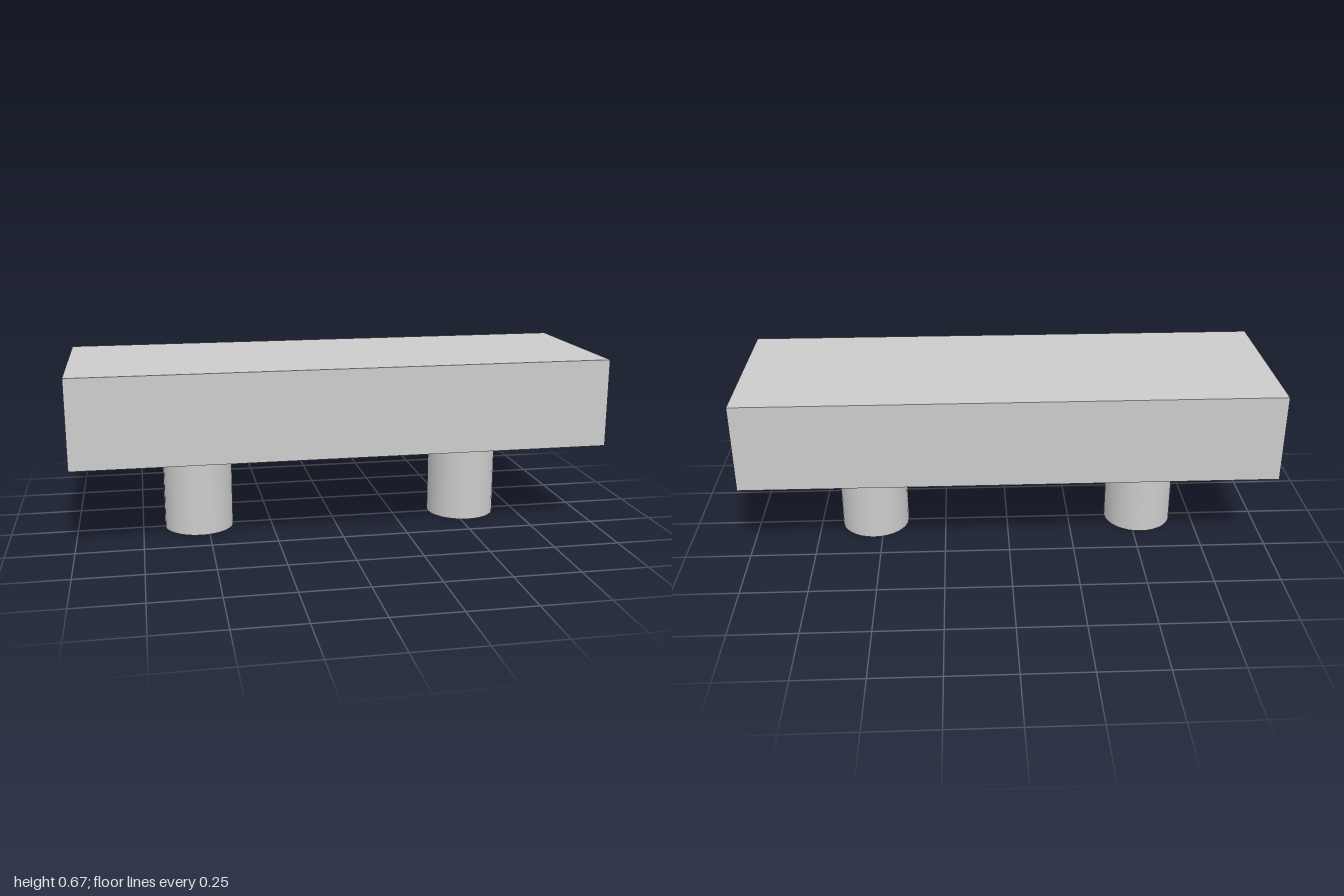
import * as THREE from 'three';

export function createModel() {
  const group = new THREE.Group();
  const material = new THREE.MeshStandardMaterial({ color: 0xcccccc });
  const legHeight = 0.335, slabHeight = 0.333;

  // Rectangular slab resting on the legs
  const slab = new THREE.Mesh(new THREE.BoxGeometry(2, slabHeight, 0.667), material);
  slab.name = 'slab';
  slab.position.y = legHeight + slabHeight / 2;
  group.add(slab);

  // Two round legs, mirrored across the middle
  const legGeometry = new THREE.CylinderGeometry(0.133, 0.133, legHeight, 32);
  for (const side of [-1, 1]) {
    const leg = new THREE.Mesh(legGeometry, material);
    leg.name = side > 0 ? 'leftLeg' : 'rightLeg';
    leg.position.set(side * 0.533, legHeight / 2, 0);
    group.add(leg);
  }
  return group;
}
